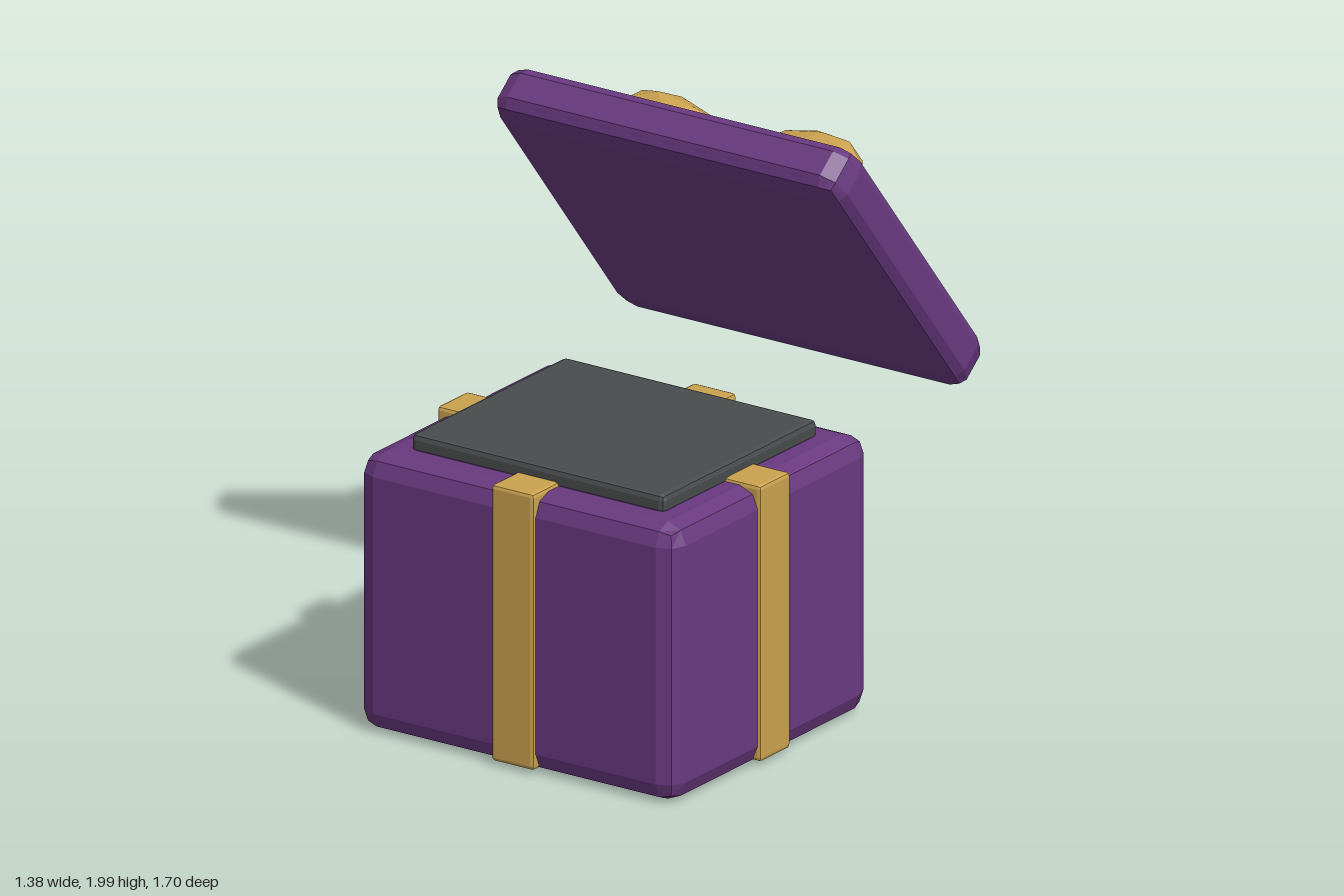
import * as THREE from 'three';
import { RoundedBoxGeometry } from 'three/addons/geometries/RoundedBoxGeometry.js';

const mat = (name, color) => {
  const m = new THREE.MeshStandardMaterial({ color });
  m.name = name;
  return m;
};

// Faceted box with a two-step bevel; the bevel radius may differ on each axis
function bevelBox(w, h, d, rx, ry = rx, rz = rx) {
  let g = new RoundedBoxGeometry(w / rx, h / ry, d / rz, 1, 1);
  g.scale(rx, ry, rz);
  if (g.index) g = g.toNonIndexed();
  g.computeVertexNormals();
  return g;
}

export function createModel() {
  const purple = mat('purple', 0x69397f);
  const gold = mat('gold', 0xc9a14e);
  const charcoal = mat('charcoal', 0x484c4c);

  const model = new THREE.Group();
  model.name = 'openGiftBox';
  const add = (name, geometry, material, x, y, z) => {
    const mesh = new THREE.Mesh(geometry, material);
    mesh.name = name;
    mesh.position.set(x, y, z);
    model.add(mesh);
    return mesh;
  };

  // Box body and the dark panel at its opening
  const cz = 0.285;
  add('boxBody', bevelBox(1.255, 0.957, 1.115, 0.07), purple, 0, 0.4785, cz);
  add('openingPanel', bevelBox(1.0, 0.07, 0.865, 0.02), charcoal, 0, 0.977, 0.283);

  // Ribbons crossing the body
  add('frontBackRibbon', bevelBox(0.17, 0.955, 1.14, 0.014), gold, 0, 0.4925, cz);
  add('sideRibbon', bevelBox(1.28, 0.953, 0.17, 0.014), gold, 0, 0.4925, cz);

  // Lid tipped backwards
  const lid = add('lid', bevelBox(1.375, 0.185, 1.22, 0.07, 0.045, 0.09), purple, 0, 1.483, -0.414);
  lid.rotation.x = -0.89;

  // Bow: two faceted lobes rising outwards
  for (const s of [1, -1]) {
    const g = new THREE.IcosahedronGeometry(1, 1);
    g.scale(0.265, 0.148, 0.113);
    g.computeVertexNormals();
    const lobe = add(s > 0 ? 'leftBowLobe' : 'rightBowLobe', g, gold, s * 0.23, 1.715, -0.42);
    lobe.rotation.z = s * 0.33;
  }
  return model;
}
